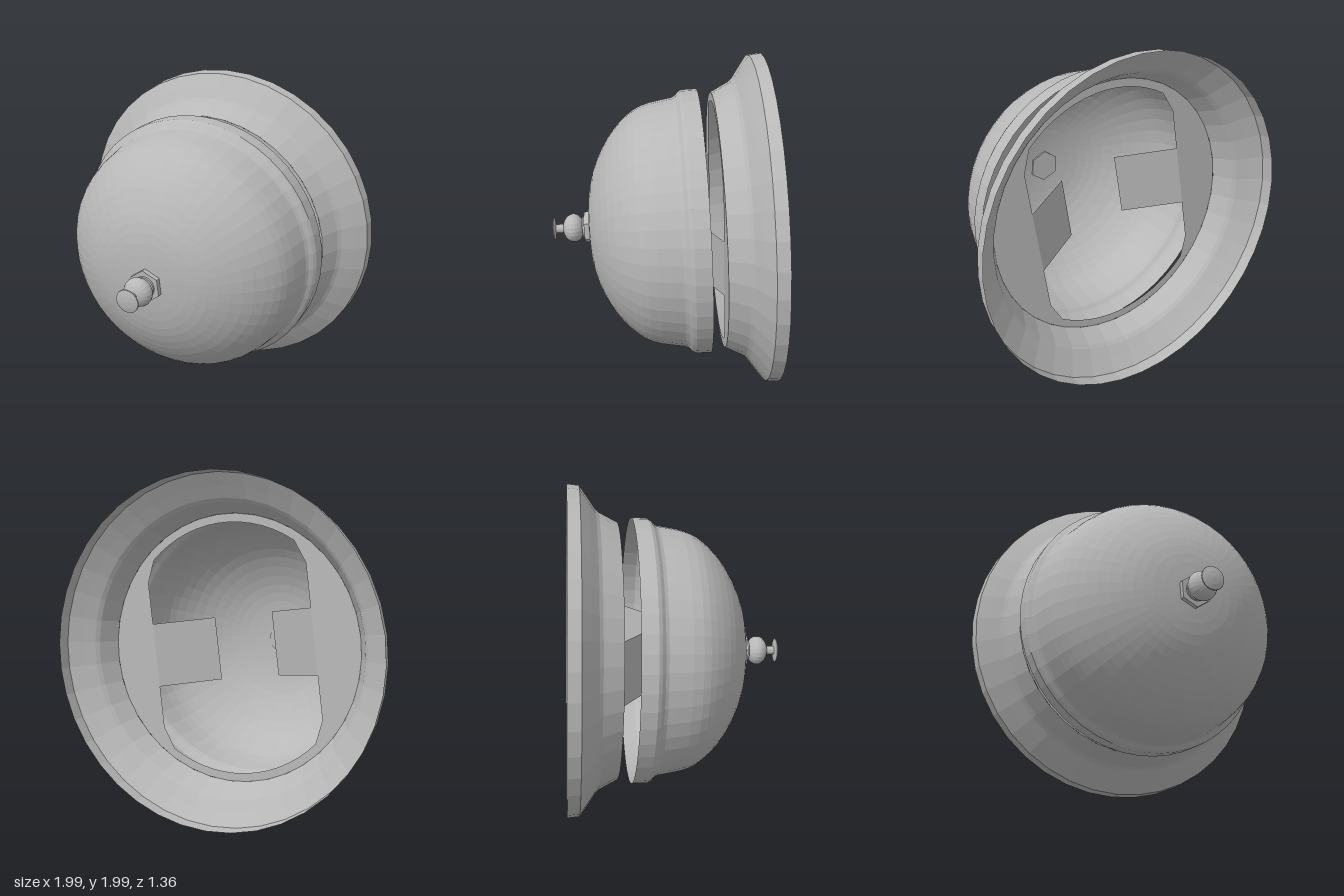
import * as THREE from 'three';

export function createModel() {
  const metal = new THREE.MeshStandardMaterial({ color: 0xb8b8b8, flatShading: true, side: THREE.DoubleSide });
  metal.name = 'grey metal';

  // Everything turns about one axis that points forward and slightly down
  const lamp = new THREE.Group();
  lamp.name = 'ceilingLight';
  lamp.position.set(0, 1.005, -0.627);
  lamp.rotation.x = Math.PI / 2 + 0.05;

  const add = (name, geometry, parent = lamp) => {
    const mesh = new THREE.Mesh(geometry, metal);
    mesh.name = name;
    parent.add(mesh);
    return mesh;
  };
  // Profiles are [radius, distance forward of the back rim]
  const vectors = (pairs) => pairs.map(([r, d]) => new THREE.Vector2(r, d));
  const turned = (name, points, segments) => add(name, new THREE.LatheGeometry(points, segments));

  // Flared back flange
  turned('flange', vectors([[0.997, 0], [0.99, 0.072], [0.92, 0.122], [0.857, 0.165], [0.838, 0.185], [0.78, 0.298]]), 40);

  // Bowl with a stepped rim
  const bowlCurve = new THREE.SplineCurve(vectors([
    [0.762, 0.534], [0.73, 0.705], [0.67, 0.813], [0.554, 0.925],
    [0.4, 1.013], [0.258, 1.058], [0.1, 1.077], [0, 1.079],
  ]));
  turned('bowl', [...vectors([[0.806, 0.382], [0.805, 0.475], [0.793, 0.495], [0.772, 0.515]]), ...bowlCurve.getPoints(18)], 48);

  // Mounting plate in the flange, with a long opening and two bent tabs
  const bracket = new THREE.Group();
  bracket.name = 'mountingBracket';
  bracket.position.y = 0.298;
  bracket.rotation.set(-Math.PI / 2, 0, -0.14);
  lamp.add(bracket);

  const plate = new THREE.Shape().absarc(0, 0, 0.78, 0, Math.PI * 2);
  const edge = 0.51;
  const opening = [];
  for (const side of [1, -1]) {
    opening.push([edge * side, -0.44 * side], [edge * side, 0.44 * side]);
    for (let i = 0; i <= 14; i++) {
      const a = 0.9 + (Math.PI - 1.8) * i / 14;
      opening.push([0.73 * Math.cos(a) * side, 0.73 * Math.sin(a) * side]);
    }
  }
  plate.holes.push(new THREE.Path(vectors(opening)));
  add('mountingPlate', new THREE.ShapeGeometry(plate, 20), bracket);

  for (const side of [1, -1]) {
    const tab = add(side > 0 ? 'leftTab' : 'rightTab', new THREE.PlaneGeometry(0.38, 0.38), bracket);
    tab.position.set(side * (edge - 0.16), 0, 0.1);
    tab.rotation.y = side * Math.atan2(0.2, 0.32);
  }

  // Finial: nut, ball, stem and cap
  const nut = add('nut', new THREE.CylinderGeometry(0.1, 0.1, 0.04, 6));
  nut.position.y = 1.087;
  nut.rotation.y = 0.1;

  turned('collar', vectors([[0, 1.12], [0.065, 1.12], [0.065, 1.1]]), 20);

  const ball = add('ball', new THREE.SphereGeometry(0.088, 20, 14));
  ball.rotation.y = 0.1;
  ball.scale.y = 0.74;
  ball.position.y = 1.177;

  turned('stem', vectors([[0.027, 1.22], [0.027, 1.29]]), 16);
  turned('cap', vectors([[0, 1.283], [0.03, 1.285], [0.072, 1.293], [0.07, 1.298], [0.04, 1.305], [0, 1.309]]), 24);

  const model = new THREE.Group();
  model.name = 'lightFixture';
  model.add(lamp);
  return model;
}
